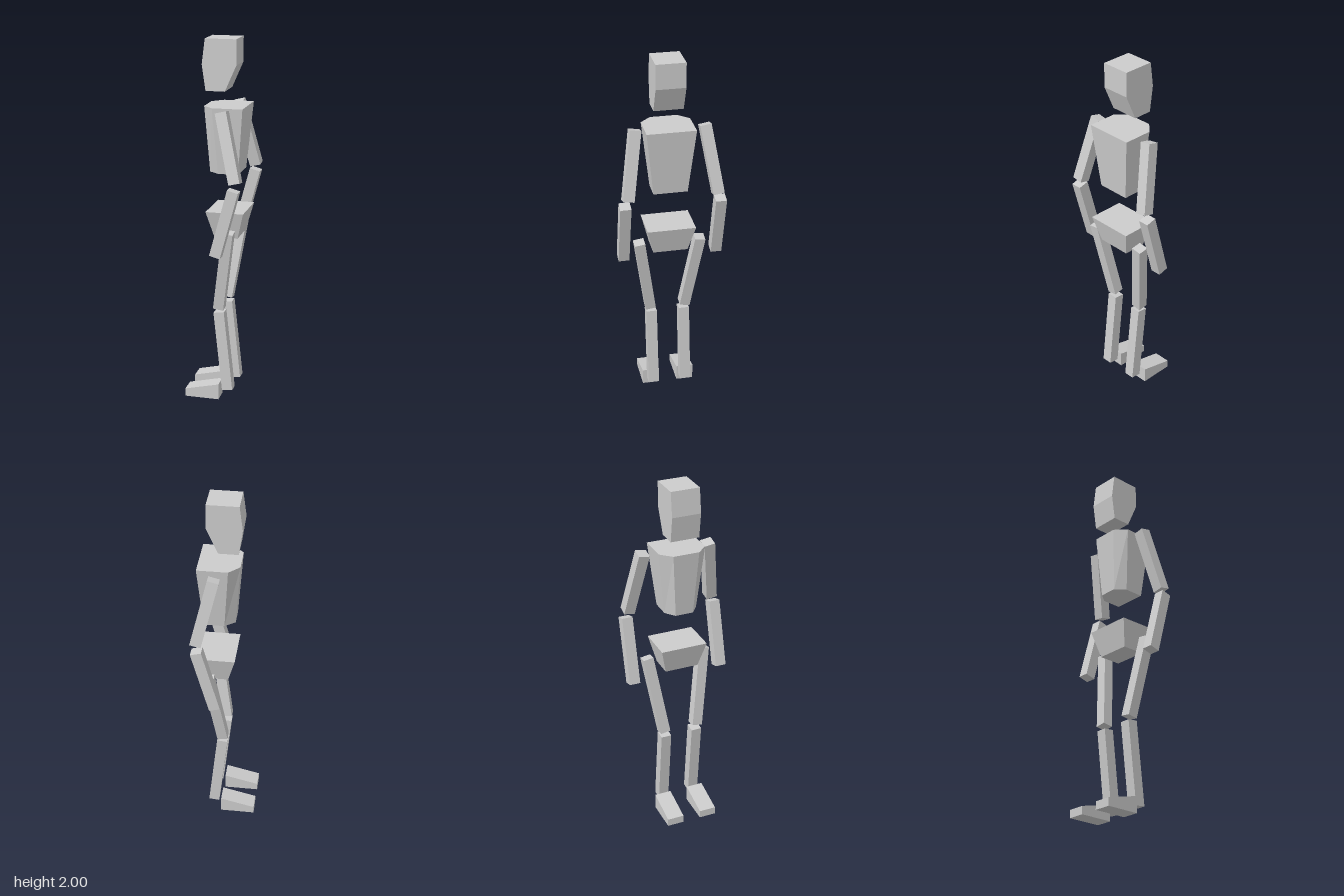
import * as THREE from 'three';

const material = new THREE.MeshStandardMaterial({ color: 0xcccccc, flatShading: true });

function addMesh(parent, name, geometry) {
  const mesh = new THREE.Mesh(geometry, material);
  mesh.name = name;
  parent.add(mesh);
  return mesh;
}

// Closed solid through rings listed top to bottom; each ring is { y, pts: [[x, z], ...] }
// with points running from the front, round the +z side, to the back.
function loft(rings) {
  const n = rings[0].pts.length;
  const positions = rings.flatMap(({ y, pts }) => pts.flatMap(([x, z]) => [x, y, z]));
  const index = [];
  for (let r = 0; r < rings.length - 1; r++) {
    for (let i = 0; i < n; i++) {
      const a = r * n + i, b = r * n + (i + 1) % n;
      index.push(a, a + n, b, b, a + n, b + n);
    }
  }
  const last = (rings.length - 1) * n;
  for (let i = 1; i < n - 1; i++) {
    index.push(0, i, i + 1);
    index.push(last, last + i + 1, last + i);
  }
  const indexed = new THREE.BufferGeometry();
  indexed.setAttribute('position', new THREE.Float32BufferAttribute(positions, 3));
  indexed.setIndex(index);
  const geometry = indexed.toNonIndexed();
  geometry.computeVertexNormals();
  return geometry;
}

// Ring symmetric about z = 0, from [x, halfWidth] pairs running front to back
function ring(y, half) {
  const left = half.map(([x, w]) => [x, w]);
  const right = half.map(([x, w]) => [x, -w]).reverse();
  return { y, pts: [...left, ...right] };
}

// Square bar whose end faces are centred on two points
function addBar(parent, name, from, to, width) {
  const top = new THREE.Vector3(...from), bottom = new THREE.Vector3(...to);
  const axis = top.clone().sub(bottom);
  const bar = addMesh(parent, name, new THREE.BoxGeometry(width, axis.length(), width));
  bar.position.copy(top).add(bottom).multiplyScalar(0.5);
  bar.quaternion.setFromUnitVectors(new THREE.Vector3(0, 1, 0), axis.normalize());
}

export function createModel() {
  const figure = new THREE.Group();
  figure.name = 'blockFigure';

  // Head: the figure looks toward -x
  addMesh(figure, 'head', loft([
    ring(2.0, [[-0.068, 0.08], [0.102, 0.08]]),
    ring(1.865, [[-0.085, 0.08], [0.102, 0.08]]),
    ring(1.725, [[-0.065, 0.08], [0.04, 0.08]]),
  ])).position.z = 0.005;

  // Chest with bevelled front corners
  addMesh(figure, 'chest', loft([
    ring(1.645, [[-0.073, 0.073], [-0.016, 0.132], [0.149, 0.132]]),
    ring(1.285, [[-0.047, 0.05], [0.008, 0.0925], [0.118, 0.0925]]),
  ])).position.z = 0.01;

  // Pelvis
  addMesh(figure, 'pelvis', loft([
    ring(1.08, [[-0.052, 0.132], [0.155, 0.132]]),
    ring(0.932, [[-0.012, 0.095], [0.117, 0.095]]),
  ])).position.z = 0.01;

  // Foot profile extruded across its width
  const footShape = new THREE.Shape([[-0.17, 0], [0.022, 0], [0.022, 0.09], [-0.17, 0.044]]
    .map(([x, y]) => new THREE.Vector2(x, y)));
  const footGeometry = new THREE.ExtrudeGeometry(footShape, { depth: 0.096, bevelEnabled: false });
  footGeometry.translate(0, 0, -0.048);

  // Limbs, one set on each side
  for (const [side, s] of [['left', 1], ['right', -1]]) {
    const arm = new THREE.Group();
    arm.name = side + 'Arm';
    addBar(arm, side + 'UpperArm', [0.05, 1.635, s * 0.186], [0.138, 1.271, s * 0.243], 0.061);
    addBar(arm, side + 'Forearm', [0.133, 1.238, s * 0.258], [0.036, 0.876, s * 0.258], 0.06);

    const leg = new THREE.Group();
    leg.name = side + 'Leg';
    addBar(leg, side + 'Thigh', [0.085, 0.986, s * 0.167], [0.016, 0.531, s * 0.0975], 0.058);
    addBar(leg, side + 'Shin', [0.018, 0.508, s * 0.093], [0.067, 0.052, s * 0.093], 0.059);
    leg.position.z = 0.01;
    addMesh(leg, side + 'Foot', footGeometry).position.z = s * 0.1 - 0.004;

    figure.add(arm, leg);
  }
  return figure;
}
